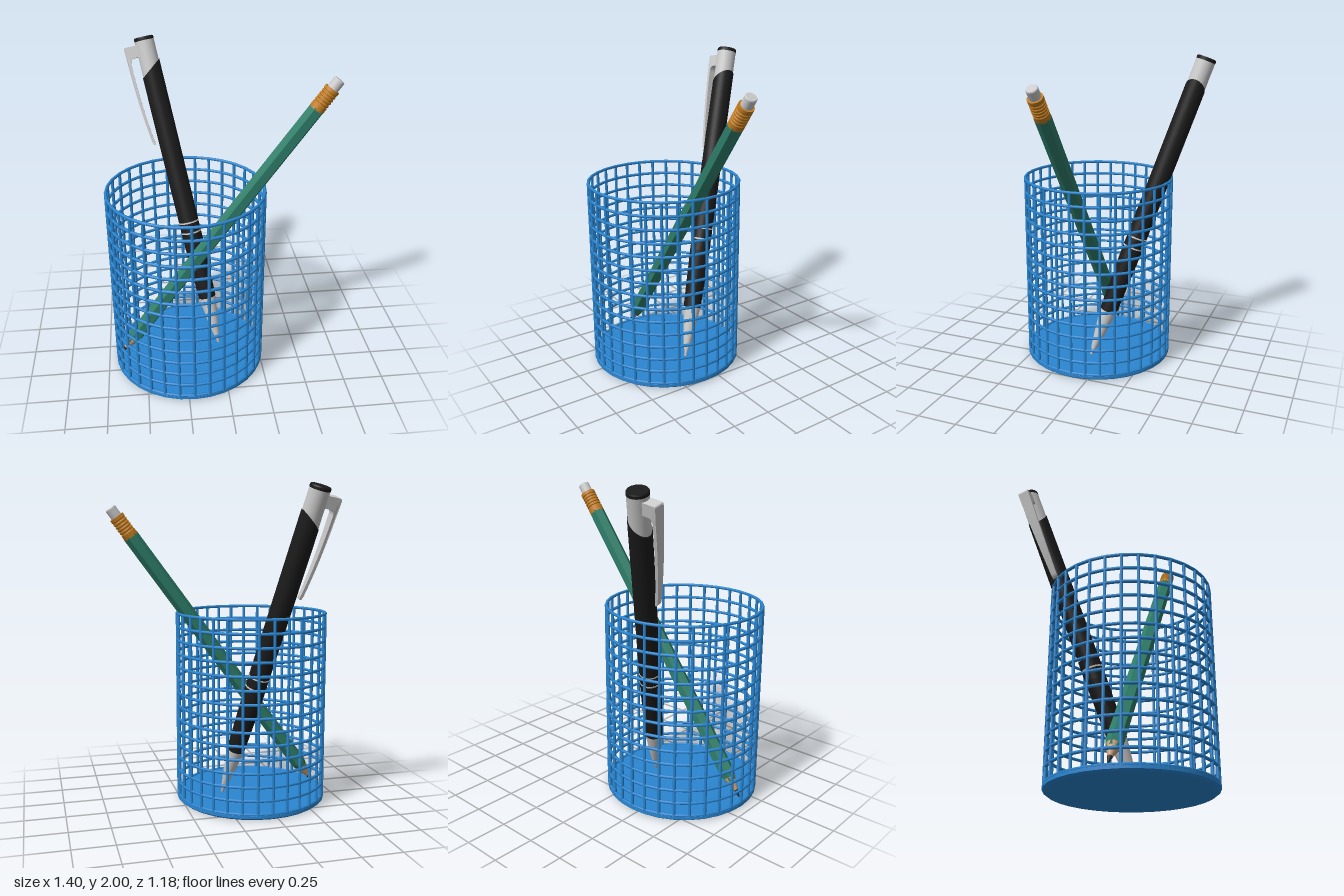
import * as THREE from 'three';

const mat = (color, extra = {}) => new THREE.MeshStandardMaterial({ color, ...extra });

function add(parent, name, geometry, material) {
  const mesh = new THREE.Mesh(geometry, material);
  mesh.name = name;
  parent.add(mesh);
  return mesh;
}

// Lathe around y from [radius, height] pairs; doubled corners keep edges sharp
function lathe(pairs, sides = 32) {
  return new THREE.LatheGeometry(pairs.map(([r, y]) => new THREE.Vector2(r, y)), sides);
}
const crisp = (pairs) => pairs.flatMap((p) => [p, p]);

// Wire mesh cup with a solid base
function createCup() {
  const cup = new THREE.Group();
  cup.name = 'meshCup';
  cup.position.set(-0.215, 0, 0.105);
  const blue = mat(0x2a86d2);
  const R = 0.477, wire = 0.0095, sides = 32, rings = 15;

  add(cup, 'base', lathe(crisp([[0, 0], [0.47, 0], [0.486, 0.012], [0.486, 0.03], [0.478, 0.035], [0, 0.035]])), blue);

  const ringGeometry = new THREE.TorusGeometry(R, wire, 8, sides).rotateX(Math.PI / 2);
  for (let i = 0; i < rings; i++) {
    add(cup, 'ringWire', ringGeometry, blue).position.y = 0.035 + (i * 1.187) / (rings - 1);
  }
  const postGeometry = new THREE.CylinderGeometry(wire, wire, 1.2, 8);
  for (let i = 0; i < sides; i++) {
    const a = (i / sides) * Math.PI * 2;
    add(cup, 'uprightWire', postGeometry, blue).position.set(R * Math.sin(a), 0.625, R * Math.cos(a));
  }
  return cup;
}

// Hexagonal pencil, tip at the local origin, pointing up +y
function createPencil() {
  const pencil = new THREE.Group();
  pencil.name = 'pencil';
  const green = mat(0x2e7d69, { flatShading: true });
  const hex = (r0, r1, y0, y1) =>
    new THREE.CylinderGeometry(r1, r0, y1 - y0, 6).rotateY(Math.PI / 6).translate(0, (y0 + y1) / 2, 0);

  add(pencil, 'lead', lathe([[0, 0], [0.004, 0.002], [0.014, 0.05]], 16), mat(0x2b2b2b));
  add(pencil, 'sharpenedWood', lathe([[0.014, 0.05], [0.04, 0.14]], 16), mat(0xc9a27c));
  add(pencil, 'shaftShoulder', hex(0.036, 0.049, 0.115, 0.17), green);
  add(pencil, 'shaft', hex(0.049, 0.049, 0.17, 2.06), green);

  // Ribbed metal band
  const band = [[0.04, 2.05], [0.047, 2.05], [0.047, 2.085]];
  for (let i = 0; i < 5; i++) {
    const y = 2.09 + i * 0.02;
    band.push([0.043, y], [0.043, y + 0.006], [0.047, y + 0.009], [0.047, y + 0.015]);
  }
  band.push([0.046, 2.2], [0.034, 2.2]);
  add(pencil, 'ferrule', lathe(crisp(band), 24), mat(0xc27c20));
  add(pencil, 'eraser', lathe(crisp([[0.035, 2.19], [0.035, 2.258], [0.031, 2.264], [0, 2.264]]), 24), mat(0xcccccc));

  pencil.position.set(-0.665, 0.05, 0.125);
  pencil.rotation.z = -Math.atan2(1.34, 1.825);
  return pencil;
}

// Clip pen, tip at the local origin, pointing up +y, clip on +x
function createPen() {
  const pen = new THREE.Group();
  pen.name = 'pen';
  const silver = mat(0xcccccc), black = mat(0x1b1b1b);

  add(pen, 'tip', lathe([[0, 0], [0.009, 0.003], [0.012, 0.04], [0.02, 0.06], [0.038, 0.18], [0.052, 0.3], [0.055, 0.35]]), silver);

  // Barrel with an upper edge cut at a slant, lower beside the clip
  const barrel = lathe(crisp([[0.05, 0.335], [0.057, 0.335], [0.065, 0.72], [0.065, 1.878], [0.056, 1.878]]));
  const p = barrel.attributes.position;
  for (let i = 0; i < p.count; i++) {
    if (p.getY(i) > 1.8) p.setY(i, p.getY(i) - p.getX(i) * 0.75);
  }
  add(pen, 'barrel', barrel, black);

  for (const y of [0.795, 0.865]) {
    add(pen, 'trimRing', lathe(crisp([[0.064, y - 0.005], [0.0665, y - 0.005], [0.0665, y + 0.005], [0.064, y + 0.005]])), silver);
  }
  add(pen, 'upperSleeve', lathe(crisp([[0.061, 1.78], [0.061, 2.06], [0, 2.06]])), silver);
  add(pen, 'endCap', lathe(crisp([[0, 2.055], [0.062, 2.055], [0.062, 2.07], [0.058, 2.077], [0, 2.077]])), black);

  // Clip: side profile extruded, then narrowed toward its free end
  const profile = new THREE.Shape();
  profile.moveTo(0.05, 2.035);
  profile.lineTo(0.125, 2.035);
  profile.quadraticCurveTo(0.137, 2.035, 0.137, 2.02);
  profile.lineTo(0.135, 1.93);
  profile.quadraticCurveTo(0.133, 1.65, 0.106, 1.43);
  profile.quadraticCurveTo(0.1, 1.4, 0.088, 1.405);
  profile.quadraticCurveTo(0.082, 1.415, 0.09, 1.45);
  profile.quadraticCurveTo(0.114, 1.66, 0.114, 1.93);
  profile.quadraticCurveTo(0.112, 1.96, 0.09, 1.962);
  profile.lineTo(0.05, 1.962);
  const clip = new THREE.ExtrudeGeometry(profile, { depth: 1, bevelEnabled: false, curveSegments: 10 });
  const c = clip.attributes.position;
  for (let i = 0; i < c.count; i++) {
    const t = THREE.MathUtils.clamp((c.getY(i) - 1.4) / 0.56, 0, 1);
    c.setZ(i, (c.getZ(i) - 0.5) * (0.032 + 0.036 * t));
  }
  clip.computeVertexNormals();
  add(pen, 'clip', clip, silver);

  // Lean the pen along its axis, with the clip turned toward -x
  const axis = new THREE.Vector3(-0.403, 1.94, -0.615).normalize();
  const out = new THREE.Vector3(-1, 0, 0).addScaledVector(axis, axis.x).normalize();
  const side = new THREE.Vector3().crossVectors(out, axis);
  pen.quaternion.setFromRotationMatrix(new THREE.Matrix4().makeBasis(out, axis, side));
  pen.position.set(-0.015, 0.04, 0.08);
  return pen;
}

export function createModel() {
  const model = new THREE.Group();
  model.name = 'penHolder';
  model.add(createCup(), createPencil(), createPen());
  return model;
}
